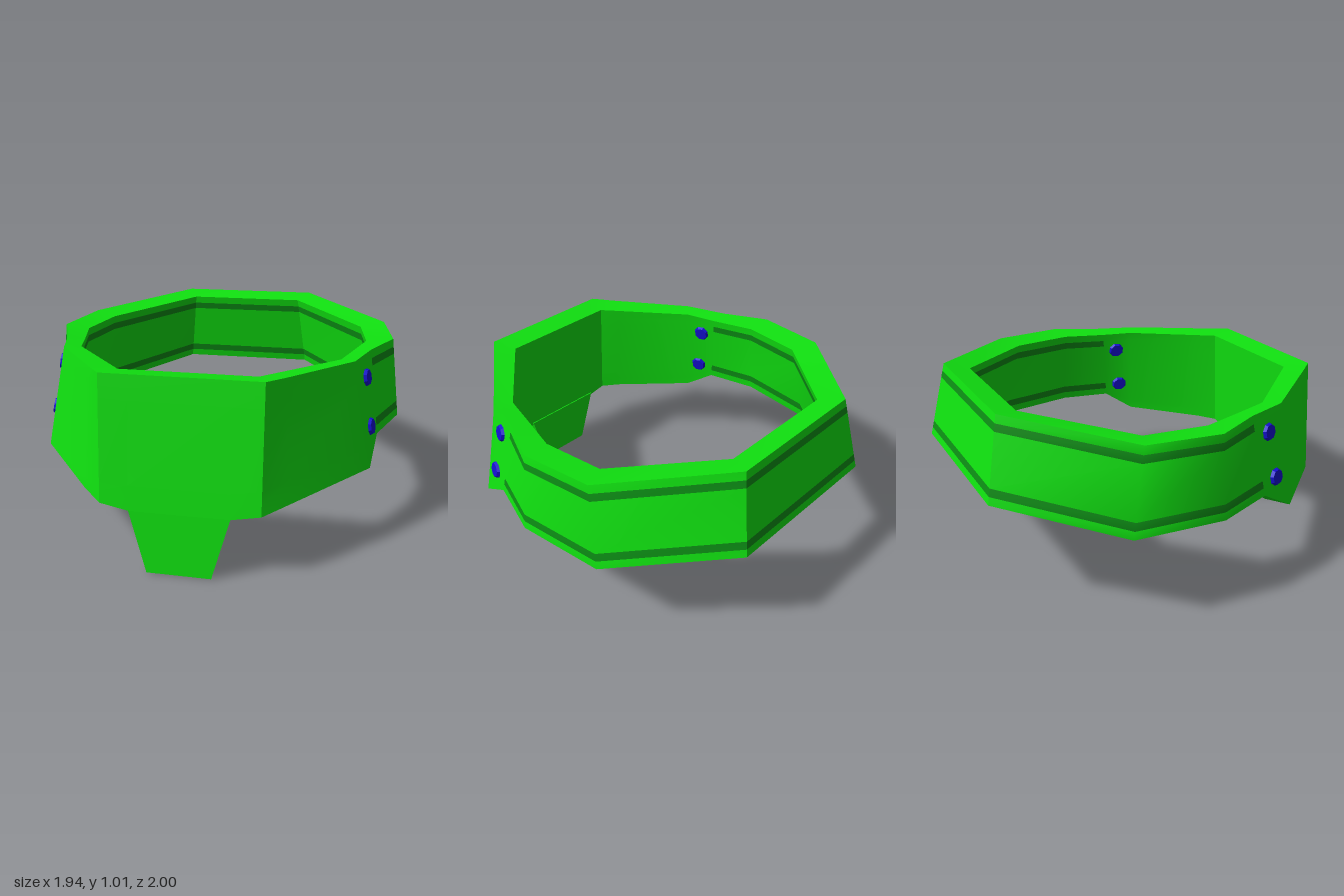
import * as THREE from 'three';
import { toCreasedNormals } from 'three/addons/utils/BufferGeometryUtils.js';

const material = (name, color) => {
  const m = new THREE.MeshStandardMaterial({ color });
  m.name = name;
  return m;
};

// Left-half cross-sections, front to back: outer top, outer bottom, inner top, inner bottom
const STATIONS = [
  [[0.24, 0.935, 0.915], [0.24, 0.30, 0.98], [0.21, 0.92, 0.785], [0.23, 0.32, 0.83]],
  [[0.38, 0.935, 0.915], [0.38, 0.325, 0.975], [0.33, 0.92, 0.785], [0.35, 0.34, 0.83]],
  [[0.455, 0.93, 0.814], [0.49, 0.35, 0.875], [0.40, 0.918, 0.70], [0.43, 0.35, 0.75]],
  [[0.74, 0.92, 0.43], [0.84, 0.39, 0.46], [0.67, 0.91, 0.37], [0.72, 0.38, 0.40]],
  [[0.81, 0.925, 0.20], [0.865, 0.505, 0.27], [0.715, 0.91, 0.20], [0.765, 0.49, 0.24]],
  [[0.92, 0.93, -0.04], [0.97, 0.51, -0.04], [0.78, 0.915, -0.03], [0.83, 0.49, -0.03]],
  [[0.87, 0.94, -0.42], [0.92, 0.515, -0.50], [0.74, 0.92, -0.355], [0.79, 0.485, -0.44]],
  [[0.39, 1.01, -0.91], [0.455, 0.60, -1.0], [0.33, 0.98, -0.79], [0.38, 0.57, -0.88]],
].map((s) => s.map((p) => new THREE.Vector3(...p)));

const STRIPE_START = 4; // first station carrying stripes
const LEVELS = [0, 0.1, 0.19, 0.81, 0.905, 1]; // wall rows from top to bottom
const STRIPE_ROWS = [1, 3, 7, 9];

const mirror = (p) => new THREE.Vector3(-p.x, p.y, p.z);

function quad(out, a, b, c, d) {
  for (const p of [a, b, c, a, c, d]) out.push(p.x, p.y, p.z);
}

function meshFrom(positions, mat, name) {
  const g = new THREE.BufferGeometry();
  g.setAttribute('position', new THREE.Float32BufferAttribute(positions, 3));
  const mesh = new THREE.Mesh(toCreasedNormals(g, 0.65), mat);
  mesh.name = name;
  return mesh;
}

// Closed outline of one section: down the outside, up the inside
function sectionProfile([ot, ob, it, ib]) {
  return [
    ...LEVELS.map((t) => ot.clone().lerp(ob, t)),
    ...[...LEVELS].reverse().map((t) => it.clone().lerp(ib, t)),
  ];
}

// Thick ring wall, with the stripe rows kept as a separate surface
function addBand(group, green, darkGreen) {
  const half = STATIONS.map((s, i) => ({ points: sectionProfile(s), striped: i >= STRIPE_START }));
  const ring = [
    ...half,
    ...[...half].reverse().map((s) => ({ points: s.points.map(mirror), striped: s.striped })),
  ];
  const wall = [], stripes = [];
  ring.forEach((a, i) => {
    const b = ring[(i + 1) % ring.length];
    const n = a.points.length;
    for (let r = 0; r < n; r++) {
      const q = (r + 1) % n;
      const target = a.striped && b.striped && STRIPE_ROWS.includes(r) ? stripes : wall;
      quad(target, a.points[q], b.points[q], b.points[r], a.points[r]);
    }
  });
  group.add(meshFrom(wall, green, 'band'), meshFrom(stripes, darkGreen, 'bandStripes'));
}

// Tapered tongue hanging below the front
function addTongue(group, green) {
  const loop = (w, yFront, zFront, yBack, zBack) => [
    [-w, yFront, zFront], [w, yFront, zFront], [w, yBack, zBack], [-w, yBack, zBack],
  ].map((p) => new THREE.Vector3(...p));
  const low = loop(0.155, 0, 1.0, 0.03, 0.84);
  const high = loop(0.24, 0.30, 0.98, 0.34, 0.82);
  const pos = [];
  for (let i = 0; i < 4; i++) {
    const j = (i + 1) % 4;
    quad(pos, low[i], low[j], high[j], high[i]);
  }
  quad(pos, high[0], high[1], high[2], high[3]);
  quad(pos, low[3], low[2], low[1], low[0]);
  group.add(meshFrom(pos, green, 'frontTongue'));
}

// Eight-sided rivets on both faces of the side panels
function addRivets(group, blue) {
  const geometry = new THREE.CylinderGeometry(0.038, 0.05, 0.022, 8).toNonIndexed();
  geometry.computeVertexNormals();
  const [a, b] = [STATIONS[3], STATIONS[4]];
  const onWall = (k, s, t) =>
    a[k].clone().lerp(a[k + 1], t).lerp(b[k].clone().lerp(b[k + 1], t), s);
  const up = new THREE.Vector3(0, 1, 0);
  for (const [s, t] of [[0.54, 0.235], [0.46, 0.73]]) {
    for (const k of [0, 2]) {
      const along = onWall(k, s + 0.1, t).sub(onWall(k, s - 0.1, t));
      const down = onWall(k, s, t + 0.1).sub(onWall(k, s, t - 0.1));
      const normal = down.cross(along).normalize();
      if ((normal.x > 0) !== (k === 0)) normal.negate();
      const place = onWall(k, s, t).addScaledVector(normal, 0.004);
      for (const side of [1, -1]) {
        const rivet = new THREE.Mesh(geometry, blue);
        rivet.name = (side > 0 ? 'left' : 'right') + (k === 0 ? 'OuterRivet' : 'InnerRivet');
        rivet.position.copy(side > 0 ? place : mirror(place));
        rivet.quaternion.setFromUnitVectors(up, side > 0 ? normal : mirror(normal));
        group.add(rivet);
      }
    }
  }
}

export function createModel() {
  const group = new THREE.Group();
  group.name = 'headband';
  const green = material('bright green', 0x10e010);
  const darkGreen = material('dark green', 0x0c8c14);
  const blue = material('rivet blue', 0x1410d0);
  addBand(group, green, darkGreen);
  addTongue(group, green);
  addRivets(group, blue);
  return group;
}
